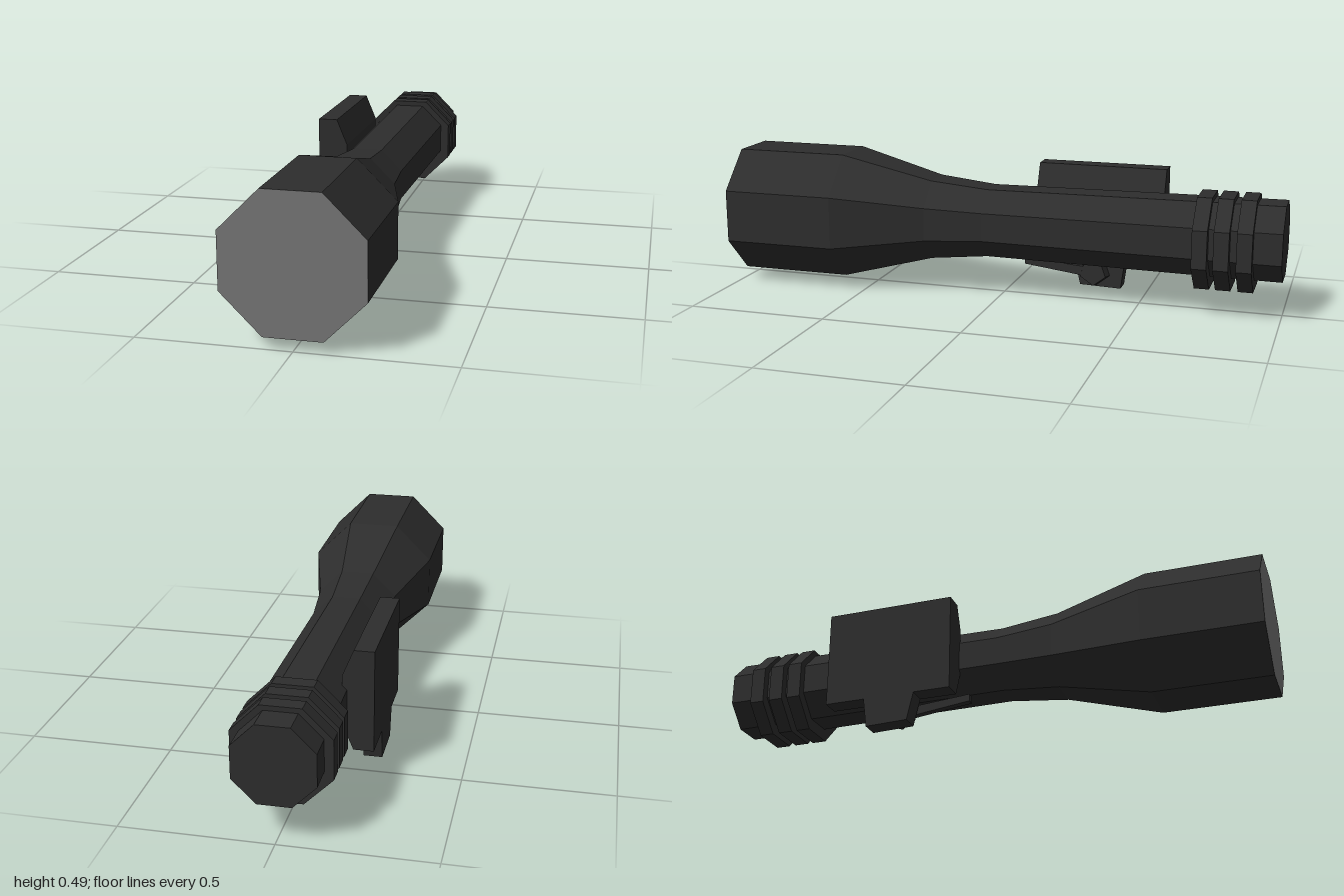
import * as THREE from 'three';

const black = new THREE.MeshStandardMaterial({ color: 0x2d2d2d, flatShading: true });
black.name = 'black casing';
const grey = new THREE.MeshStandardMaterial({ color: 0x757575, flatShading: true });
grey.name = 'grey lens';

const AXIS_Y = 0.267;
const CORNER = 1 / Math.cos(Math.PI / 8); // flat-to-centre distance -> corner radius

export function createModel() {
  const model = new THREE.Group();
  model.name = 'flashlight';

  const add = (name, geometry, material = black) => {
    const mesh = new THREE.Mesh(geometry, material);
    mesh.name = name;
    model.add(mesh);
    return mesh;
  };

  // Octagonal tube along z from [flat distance, z] pairs, back to front
  const octagon = (profile, y) =>
    new THREE.LatheGeometry(
      profile.map(([r, z]) => new THREE.Vector2(r * CORNER, z)), 8, Math.PI / 8
    ).rotateX(Math.PI / 2).translate(0, y, 0);

  const polygon = (points) => new THREE.Shape(points.map(([a, b]) => new THREE.Vector2(a, b)));

  // Outline in (z, y), extruded along x between xMin and xMax
  const sidePart = (points, xMin, xMax) =>
    new THREE.ExtrudeGeometry(polygon(points), { depth: xMax - xMin, bevelEnabled: false })
      .rotateY(-Math.PI / 2).translate(xMax, 0, 0);

  // Handle flaring into the head
  add('body', octagon([
    [0, -1], [0.132, -1], [0.13, -0.7], [0.123, 0.05],
    [0.144, 0.26], [0.227, 0.59], [0.227, 1],
  ], AXIS_Y));

  // Lens closing the head
  add('lens', new THREE.CircleGeometry(0.227 * CORNER, 8, Math.PI / 8).translate(0, AXIS_Y, 1), grey);

  // Grip rings near the tail
  for (const z of [-0.728, -0.801, -0.878]) {
    const h = 0.026;
    add('gripRing', octagon([[0, z - h], [0.161, z - h], [0.161, z + h], [0, z + h]], 0.254));
  }

  // Mounting plate with chamfered inner edges
  const plate = polygon([
    [-0.218, 0.108], [-0.15, 0.108], [-0.112, 0.2],
    [-0.112, 0.368], [-0.15, 0.46], [-0.218, 0.46],
  ]);
  add('mountPlate', new THREE.ExtrudeGeometry(plate, { depth: 0.47, bevelEnabled: false })
    .translate(0, 0, -0.56));

  // Block hanging below the plate
  add('clampBlock', sidePart(
    [[-0.415, 0.115], [-0.4, 0.002], [-0.247, 0.007], [-0.222, 0.115]], -0.218, -0.153));

  // Five-sided lever hub, tapering slightly inward
  const hub = new THREE.CylinderGeometry(0.05, 0.06, 0.04, 5);
  hub.rotateZ(-Math.PI / 2).rotateX(0.35).translate(-0.137, 0.065, -0.302);
  add('leverHub', hub);

  // Lever arm pointing forward
  add('leverArm', sidePart(
    [[-0.27, 0.05], [-0.042, 0.078], [-0.042, 0.104], [-0.27, 0.085]], -0.145, -0.12));

  return model;
}
